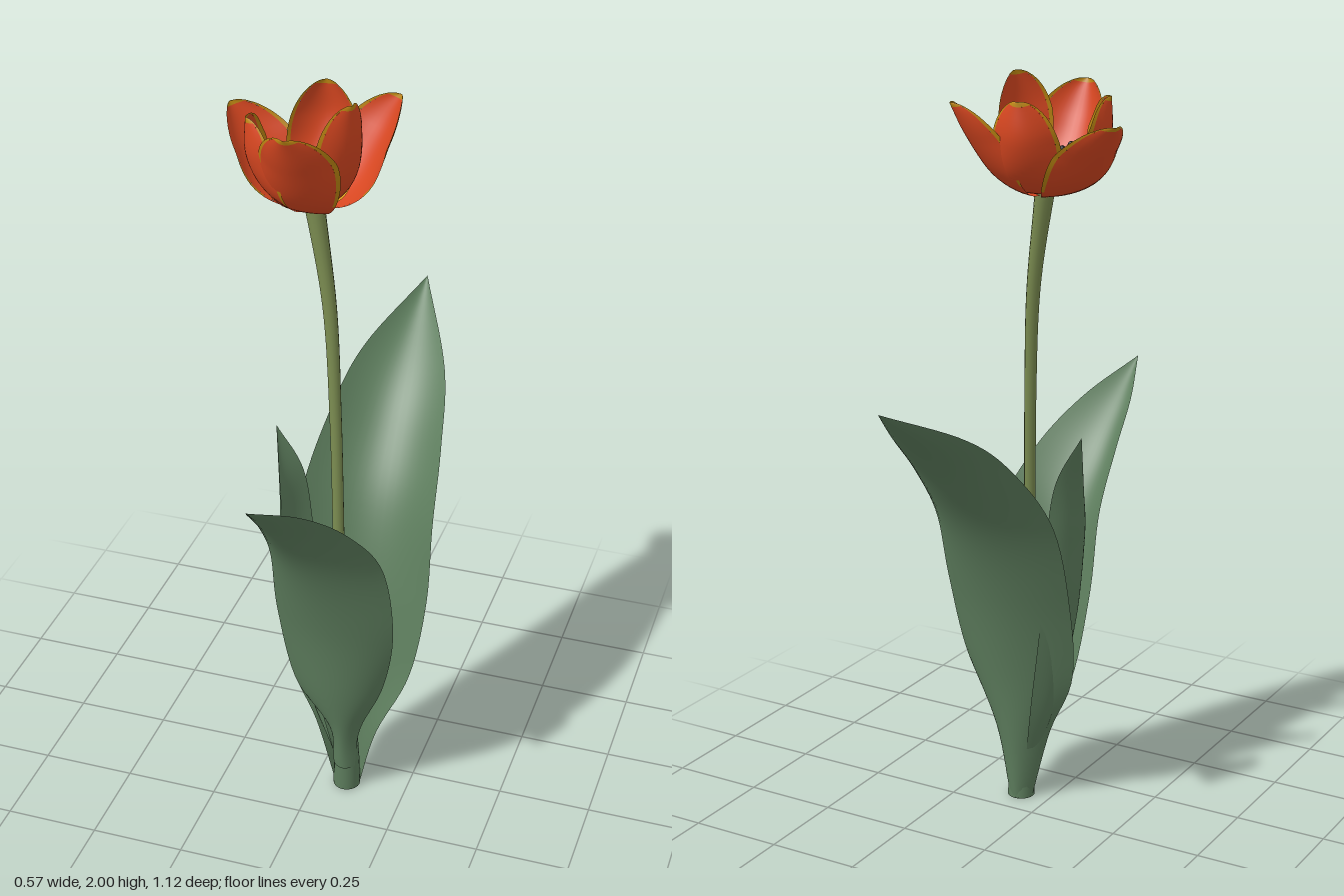
import * as THREE from 'three';

const mat = (name, color) => new THREE.MeshStandardMaterial({ name, color, side: THREE.DoubleSide });

// Smooth sheet from a rule f(u, v), with u in -1..1 across and v in 0..1 along
function sheet(name, material, nu, nv, f) {
  const geo = new THREE.PlaneGeometry(2, 1, nu, nv);
  const pos = geo.attributes.position;
  for (let i = 0; i < pos.count; i++) {
    const p = f(pos.getX(i), pos.getY(i) + 0.5);
    pos.setXYZ(i, p.x, p.y, p.z);
  }
  geo.computeVertexNormals();
  const mesh = new THREE.Mesh(geo, material);
  mesh.name = name;
  return mesh;
}

// Leaf lofted from rows of [left edge, midrib, right edge]
function leaf(name, material, rows) {
  const [left, mid, right] = [0, 3, 6].map(k =>
    new THREE.CatmullRomCurve3(rows.map(r => new THREE.Vector3(r[k], r[k + 1], r[k + 2])), false, 'catmullrom', 0.5));
  return sheet(name, material, 16, 48, (u, v) => {
    const m = mid.getPoint(v);
    return m.clone().multiplyScalar(1 - u * u)
      .addScaledVector(left.getPoint(v), u * (u - 1) / 2)
      .addScaledVector(right.getPoint(v), u * (u + 1) / 2);
  });
}

// Round stalk along a curve; radius(v) gives its thickness
function stalk(name, material, points, radius, sides = 14, steps = 40) {
  const curve = new THREE.CatmullRomCurve3(points.map(p => new THREE.Vector3(...p)));
  return sheet(name, material, sides, steps, (u, v) => {
    const p = curve.getPoint(v), a = -u * Math.PI, r = radius(v);
    return p.add(new THREE.Vector3(r * Math.cos(a), 0, r * Math.sin(a)));
  });
}

export function createModel() {
  const leafGreen = mat('leaf green', 0x5d7d5d);
  const stemGreen = mat('stem green', 0x7a8b50);
  const orange = mat('petal orange', 0xd64620);
  const yellow = mat('petal rim yellow', 0xbc8612);
  const heart = mat('heart yellow', 0xd99a1c);
  const black = mat('stamen black', 0x14161c);
  const pistilGreen = mat('pistil green', 0x6b8468);

  const model = new THREE.Group();
  model.name = 'tulip';

  // Leaves
  model.add(leaf('frontLeaf', leafGreen, [
    [.055, .08, .115, .085, .08, .135, .115, .08, .115],
    [.04, .2, .11, .08, .2, .142, .125, .2, .10],
    [-.05, .35, .125, .075, .33, .158, .185, .35, .09],
    [-.088, .6, .16, .06, .55, .18, .218, .55, .115],
    [-.085, .81, .215, .04, .77, .235, .2, .78, .16],
    [-.078, .96, .32, .01, .92, .32, .145, .95, .28],
    [-.06, 1.07, .44, -.005, 1.04, .425, .07, 1.07, .41],
    [-.02, 1.16, .56, -.02, 1.16, .56, -.02, 1.16, .56],
  ]));
  model.add(leaf('backLeaf', leafGreen, [
    [.05, 0, .09, .085, 0, .055, .12, 0, .09],
    [.0, .2, .10, .09, .18, .04, .17, .2, .10],
    [-.075, .38, .09, .10, .38, .015, .255, .4, .085],
    [-.09, .62, .04, .10, .6, -.035, .288, .62, .05],
    [-.085, .85, -.04, .10, .8, -.11, .28, .82, -.02],
    [-.05, 1.03, -.18, .10, .95, -.21, .262, .98, -.15],
    [-.005, 1.15, -.33, .10, 1.09, -.34, .22, 1.12, -.32],
    [.1, 1.26, -.56, .1, 1.26, -.56, .1, 1.26, -.56],
  ]));
  model.add(leaf('smallLeaf', leafGreen, [
    [.06, .1, .07, .05, .1, .09, .06, .1, .115],
    [.02, .3, .03, -.025, .3, .085, .01, .3, .12],
    [-.02, .55, .01, -.075, .55, .09, -.04, .55, .155],
    [-.04, .78, .005, -.09, .78, .085, -.06, .76, .18],
    [-.065, .95, .01, -.1, .93, .07, -.085, .91, .125],
    [-.13, 1.08, .03, -.13, 1.08, .03, -.13, 1.08, .03],
  ]));

  // Sheath at the foot of the leaves
  model.add(stalk('sheath', leafGreen,
    [[.085, 0, .091], [.085, .1, .094], [.082, .2, .1]], v => .037 - .005 * v, 20, 6));
  const foot = new THREE.Mesh(new THREE.CircleGeometry(.037, 20).rotateX(Math.PI / 2), leafGreen);
  foot.name = 'sheathFoot';
  foot.position.set(.085, .002, .091);
  model.add(foot);

  // Stem, widening under the flower
  model.add(stalk('stem', stemGreen,
    [[.085, .02, .095], [.078, .4, .112], [.062, .8, .098], [.043, 1.15, .068], [.018, 1.45, .04], [-.03, 1.72, .015]],
    v => .015 + .011 * Math.pow(v, 6)));

  // Flower
  const flower = new THREE.Group();
  flower.name = 'flower';
  flower.position.set(-.03, 1.705, .012);
  model.add(flower);

  const outer = [[.04, 0], [.25, .03], [.53, .22], [.82, .64], [1, 1]];
  const inner = [[.04, .01], [.38, .06], [.76, .25], [1, .6], [1, 1]];

  // [direction x, direction z, reach, height, half width, profile, cupping]
  const petals = [
    [-.01, 1, .218, .262, .102, outer, .55],
    [.15, -.17, .245, .24, .105, outer, .5],
    [-.25, -.105, .275, .2, .105, outer, .45],
    [-.03, -.19, .188, .255, .09, inner, .6],
    [-.14, .07, .165, .245, .1, inner, .6],
    [.11, .045, .118, .295, .088, inner, .5],
  ];
  petals.forEach(([dx, dz, reach, height, width, profile, cup]) => {
    const petal = new THREE.Group();
    petal.name = 'petal';
    petal.rotation.y = -Math.atan2(dz, dx);
    flower.add(petal);
    const mid = new THREE.CatmullRomCurve3(profile.map(([r, h]) => new THREE.Vector3(r * reach, h * height, 0)));
    const at = (u, t, lift = 0) => {
      const w = width * Math.pow(Math.max(0, Math.sin(Math.PI * Math.pow(t, 1.2))), .55);
      const p = mid.getPointAt(t), bend = w * u * u * Math.min(1, t * 1.5);
      return new THREE.Vector3(p.x - cup * bend - lift, p.y + .2 * bend + lift, w * u);
    };
    const edge = .91, top = .965;
    petal.add(sheet('petalBlade', orange, 14, 24, (u, v) => at(u * edge, v * top)));
    for (const s of [-1, 1])
      petal.add(sheet('petalRim', yellow, 1, 20, (u, v) =>
        at(s * (edge + (1 - edge) * (u * s + 1) / 2), (.3 + .7 * v) * top)));
    for (const s of [-1, 1])
      petal.add(sheet('petalLowerEdge', orange, 1, 8, (u, v) =>
        at(s * (edge + (1 - edge) * (u * s + 1) / 2), .3 * v * top)));
    petal.add(sheet('petalTip', yellow, 14, 6, (u, v) => at(u, top + (1 - top) * v)));
    petal.add(sheet('petalHeart', heart, 8, 8, (u, v) => at(u * .5 * (1 - v * v), .04 + v * .25, .004)));
  });

  // Stamens with dark anthers around a pistil
  for (let i = 0; i < 6; i++) {
    const a = i * Math.PI / 3 + .35, c = Math.cos(a), s = Math.sin(a);
    flower.add(stalk('filament', black,
      [[c * .012, .012, s * .012], [c * .035, .05, s * .035], [c * .052, .09, s * .052]], () => .004, 6, 8));
    const anther = new THREE.Mesh(new THREE.CapsuleGeometry(.008, .032, 4, 8), black);
    anther.name = 'anther';
    anther.position.set(c * .06, .108, s * .06);
    anther.rotation.set(s * .4, 0, -c * .4);
    flower.add(anther);
  }
  const pistil = new THREE.Mesh(new THREE.CylinderGeometry(.011, .014, .085, 10), pistilGreen);
  pistil.name = 'pistil';
  pistil.position.y = .05;
  flower.add(pistil);
  for (let i = 0; i < 3; i++) {
    const lobe = new THREE.Mesh(new THREE.SphereGeometry(.011, 10, 8), pistilGreen);
    lobe.name = 'stigma';
    const a = i * Math.PI * 2 / 3;
    lobe.position.set(Math.cos(a) * .011, .094, Math.sin(a) * .011);
    flower.add(lobe);
  }
  return model;
}
